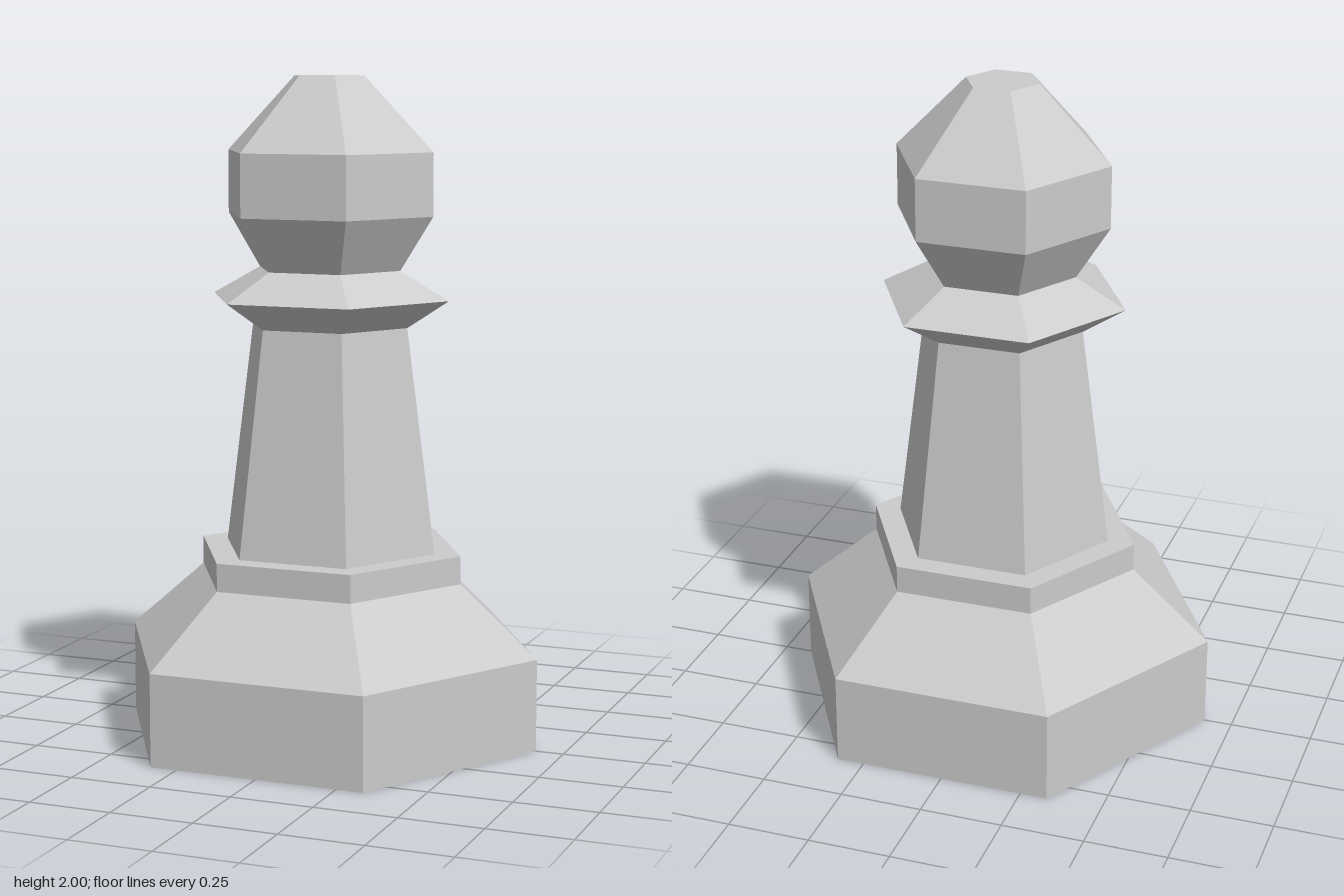
import * as THREE from 'three';

// Each part is a stack of hexagonal rings: [corner radius, height], bottom to top.
const parts = {
  base: [[0, 0], [0.665, 0], [0.665, 0.28], [0.423, 0.49]],
  step: [[0.423, 0.49], [0.423, 0.575], [0.34, 0.575]],
  stem: [[0.34, 0.575], [0.25, 1.255]],
  collar: [[0.25, 1.255], [0.38, 1.34], [0.227, 1.425]],
  head: [[0.227, 1.425], [0.33, 1.588], [0.33, 1.777], [0.112, 2], [0, 2]],
};

export function createModel() {
  const group = new THREE.Group();
  group.name = 'chessPawn';
  const material = new THREE.MeshStandardMaterial({ color: 0xcccccc, flatShading: true });

  for (const [name, rings] of Object.entries(parts)) {
    const profile = rings.map(([r, y]) => new THREE.Vector2(r, y));
    // Six sides, with corners pointing along +x and -x
    const mesh = new THREE.Mesh(new THREE.LatheGeometry(profile, 6, Math.PI / 2), material);
    mesh.name = name;
    group.add(mesh);
  }
  return group;
}
